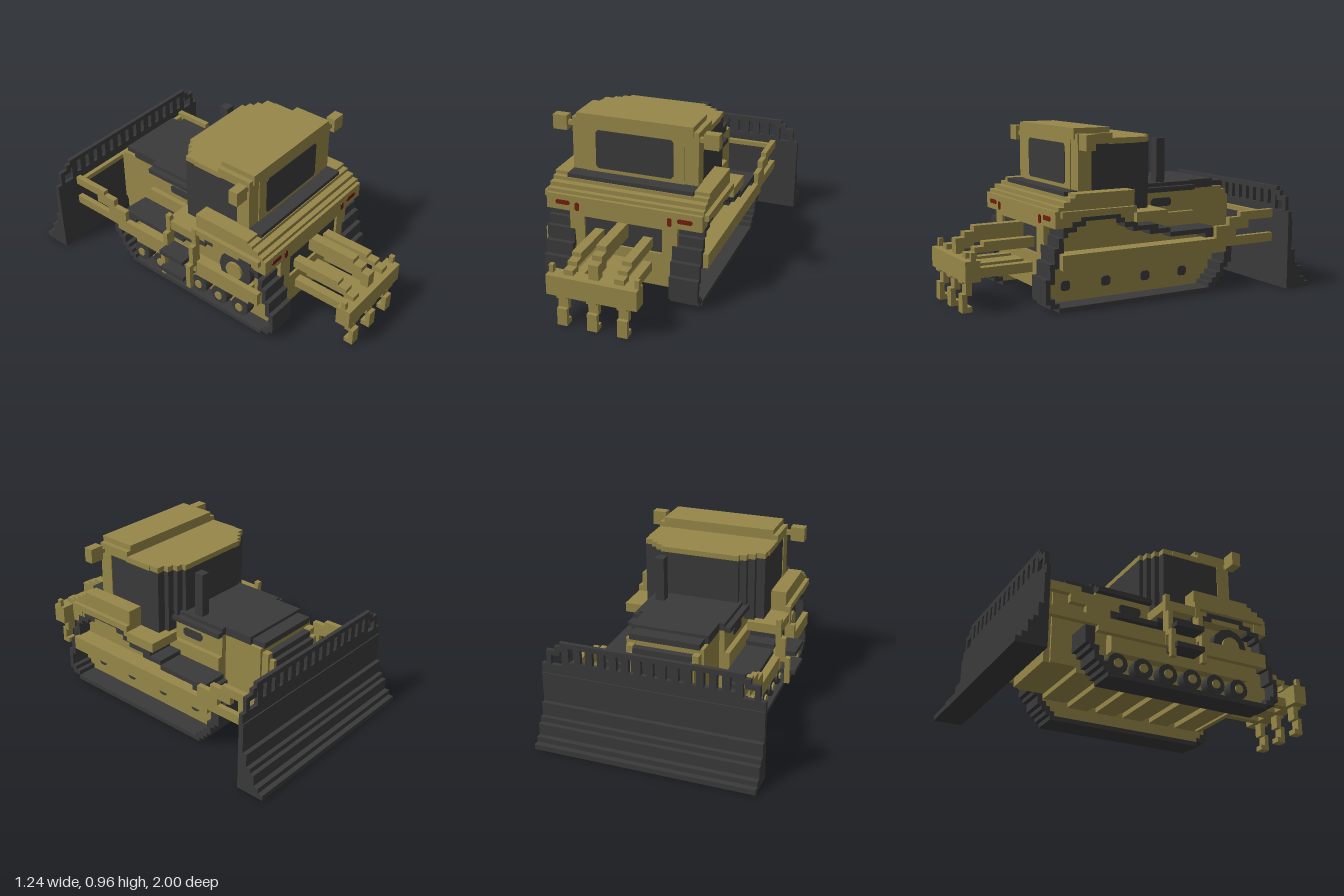
import * as THREE from 'three';

const mat = (name, color) => {
  const m = new THREE.MeshStandardMaterial({ color });
  m.name = name;
  return m;
};

export function createModel() {
  const model = new THREE.Group();
  model.name = 'bulldozer';
  const yellow = mat('ochre paint', 0x968748);
  const dark = mat('charcoal', 0x3a3a3a);
  const red = mat('lamp red', 0x721c0a);

  const add = (name, geo, m) => {
    const mesh = new THREE.Mesh(geo, m);
    mesh.name = name;
    model.add(mesh);
    return mesh;
  };
  // Box given by its extents
  const box = (name, m, x0, x1, y0, y1, z0, z1) => {
    const g = new THREE.BoxGeometry(x1 - x0, y1 - y0, z1 - z0);
    g.translate((x0 + x1) / 2, (y0 + y1) / 2, (z0 + z1) / 2);
    return add(name, g, m);
  };
  // Box on the left and its mirror on the right
  const pair = (name, m, x0, x1, ...r) => {
    box(name + 'Left', m, x0, x1, ...r);
    box(name + 'Right', m, -x1, -x0, ...r);
  };
  // Turn a closed outline into block-like stairs
  const U = 0.0266;
  const stairs = (pts) => {
    const out = [];
    const snap = (v) => Math.round(v / U) * U;
    pts.forEach(([az, ay], i) => {
      const [bz, by] = pts[(i + 1) % pts.length];
      const n = Math.max(1, Math.ceil(Math.hypot(bz - az, by - ay) / (U / 2)));
      for (let k = 0; k < n; k++) {
        const p = [snap(az + (bz - az) * k / n), snap(ay + (by - ay) * k / n)];
        const q = out[out.length - 1];
        if (q && q[0] === p[0] && q[1] === p[1]) continue;
        if (q && q[0] !== p[0] && q[1] !== p[1]) out.push([p[0], q[1]]);
        out.push(p);
      }
    });
    return out;
  };
  // Side profile of [z, y] points, extruded from x0 to x1
  const profile = (name, m, pts, x0, x1, hole) => {
    const toV = (a) => a.map(([z, y]) => new THREE.Vector2(-z, y));
    const s = new THREE.Shape(toV(pts));
    if (hole) s.holes.push(new THREE.Path(toV(hole).reverse()));
    const g = new THREE.ExtrudeGeometry(s, { depth: x1 - x0, bevelEnabled: false });
    g.rotateY(Math.PI / 2).translate(x0, 0, 0);
    return add(name, g, m);
  };
  // Rectangle with cut corners
  const cut = (a0, a1, b0, b1, c) => [[a0 + c, b0], [a1 - c, b0], [a1, b0 + c], [a1, b1 - c], [a1 - c, b1], [a0 + c, b1], [a0, b1 - c], [a0, b0 + c]];
  // Thin cut-corner plate facing the front
  const plate = (name, m, x0, x1, y0, y1, c, z) => {
    const s = new THREE.Shape(cut(x0, x1, y0, y1, c).map((p) => new THREE.Vector2(...p)));
    add(name, new THREE.ExtrudeGeometry(s, { depth: 0.005, bevelEnabled: false }).translate(0, 0, z), m);
  };

  // Tracks: stepped belt around a side frame
  const outer = stairs([[0.55, 0], [0.635, 0.06], [0.635, 0.17], [0.6, 0.26], [0.56, 0.39], [0.53, 0.44], [0.46, 0.48],
    [0.39, 0.505], [0.21, 0.505], [0.14, 0.45], [-0.07, 0.405], [-0.19, 0.37], [-0.43, 0.36], [-0.55, 0.26],
    [-0.55, 0.16], [-0.48, 0.07], [-0.41, 0]]);
  const upper = [[0.57, 0.25], [0.53, 0.39], [0.5, 0.42], [0.44, 0.455], [0.38, 0.475], [0.22, 0.475], [0.15, 0.42],
    [-0.06, 0.375], [-0.18, 0.34], [-0.42, 0.33], [-0.51, 0.25]];
  const inner = stairs([[0.53, 0.03], [0.6, 0.08], [0.6, 0.17], ...upper, [-0.51, 0.17], [-0.46, 0.1], [-0.4, 0.03]]);
  profile('trackBeltLeft', dark, outer, 0.285, 0.45, inner);
  profile('trackBeltRight', dark, outer, -0.45, -0.285, inner);
  profile('trackFrameLeft', yellow, inner, 0.288, 0.33);
  profile('trackFrameUpperLeft', yellow, stairs(upper), 0.32, 0.37);
  profile('trackFrameRight', yellow, inner, -0.37, -0.29);
  box('trackBeamLeft', yellow, 0.32, 0.45, 0.23, 0.31, -0.48, 0.54);
  box('trackBeamRight', yellow, -0.43, -0.37, 0.15, 0.26, -0.4, 0.45);
  for (const z of [0.465, 0.215, -0.04, -0.29]) {
    profile('frameBolt', dark, cut(z - 0.028, z + 0.028, 0.088, 0.142, 0.012), 0.32, 0.338);
  }

  // Open rollers and sprocket on the right track
  const disc = (name, m, r, y, z, x0, x1) => {
    const g = new THREE.CylinderGeometry(r, r, x1 - x0, 12);
    g.rotateZ(Math.PI / 2).translate((x0 + x1) / 2, y, z);
    add(name, g, m);
  };
  for (let i = 0; i < 6; i++) {
    const z = -0.36 + i * 0.15;
    disc('roller', dark, 0.058, 0.09, z, -0.43, -0.37);
    disc('rollerHub', yellow, 0.025, 0.09, z, -0.44, -0.42);
  }
  disc('sprocket', dark, 0.11, 0.34, 0.35, -0.42, -0.37);
  disc('sprocketHub', yellow, 0.055, 0.34, 0.35, -0.435, -0.41);

  // Hull and ribbed belly
  box('hull', yellow, -0.28, 0.28, 0.12, 0.45, -0.41, 0.56);
  box('hullFront', yellow, -0.22, 0.22, 0.12, 0.45, -0.53, -0.4);
  for (let i = 0; i < 6; i++) {
    const w = i ? 0.28 : 0.22;
    box('bellyPlate', yellow, -w, w, 0.09, 0.125, -0.5 + i * 0.18, -0.37 + i * 0.18);
  }
  box('rearPlateLower', yellow, -0.28, 0.28, 0.09, 0.285, 0.55, 0.58);
  pair('rearPlateSide', yellow, 0.225, 0.282, 0.28, 0.45, 0.55, 0.58);
  pair('rearPlateShoulder', yellow, 0.28, 0.312, 0.34, 0.45, 0.55, 0.58);
  box('rearRecess', dark, -0.225, 0.225, 0.285, 0.43, 0.555, 0.565);

  // Rear body, stepping in towards the top
  box('rearBody', yellow, -0.45, 0.45, 0.45, 0.54, 0.5, 0.58);
  box('rearBodyLintel', yellow, -0.312, 0.312, 0.43, 0.46, 0.5, 0.58);
  [[0.54, 0.56, 0.56], [0.56, 0.585, 0.53], [0.585, 0.605, 0.49], [0.605, 0.625, 0.46]].forEach(([y0, y1, z]) =>
    box('rearBodyStep', yellow, -0.45, 0.45, y0, y1, 0.1, z));
  box('rearBodyCore', yellow, -0.445, 0.445, 0.45, 0.545, 0.1, 0.55);
  pair('fenderLip', yellow, 0.44, 0.475, 0.505, 0.54, 0.1, 0.55);
  pair('sidePlatform', yellow, 0.28, 0.475, 0.45, 0.505, -0.1, 0.1);
  box('rearSill', dark, -0.365, 0.365, 0.598, 0.628, 0.4, 0.485);

  // Rear lamps
  for (const s of [-1, 1]) {
    const x = (a, b) => (s > 0 ? [a, b] : [-b, -a]);
    plate('rearLampWide', red, ...x(0.312, 0.395), 0.483, 0.508, 0.007, 0.579);
    plate('rearLampTall', red, ...x(0.255, 0.28), 0.457, 0.505, 0.007, 0.579);
  }

  // Engine bay and hood
  box('engineBay', yellow, -0.25, 0.25, 0.35, 0.58, -0.41, 0.1);
  box('engineNose', yellow, -0.22, 0.22, 0.12, 0.575, -0.65, -0.4);
  box('noseLower', yellow, -0.205, 0.205, 0.12, 0.24, -0.685, -0.64);
  pair('noseCheek', yellow, 0.168, 0.205, 0.2, 0.55, -0.69, -0.64);
  pair('grilleFrame', yellow, 0.168, 0.19, 0.2, 0.515, -0.718, -0.68);
  box('grille', dark, -0.17, 0.17, 0.22, 0.505, -0.716, -0.68);
  box('grilleTop', dark, -0.17, 0.17, 0.22, 0.54, -0.69, -0.64);
  box('hoodEdge', dark, -0.283, 0.283, 0.572, 0.6, -0.41, -0.05);
  box('hood', dark, -0.25, 0.25, 0.575, 0.622, -0.41, 0);
  box('hoodNose', dark, -0.22, 0.22, 0.572, 0.622, -0.58, -0.4);
  box('hoodTip', dark, -0.2, 0.2, 0.572, 0.605, -0.66, -0.57);
  const vent = cut(-0.265, -0.13, 0.486, 0.535, 0.012);
  profile('sideVentLeft', dark, vent, 0.248, 0.256);
  profile('sideVentRight', dark, vent, -0.256, -0.248);
  box('exhaust', dark, 0.168, 0.222, 0.6, 0.875, -0.24, -0.185);

  // Cab with stepped glass nose and two-level roof
  box('cabRear', yellow, -0.365, 0.365, 0.62, 0.9, 0.32, 0.4);
  box('cabRearPanel', yellow, -0.285, 0.285, 0.62, 0.9, 0.39, 0.406);
  plate('rearWindow', dark, -0.225, 0.225, 0.65, 0.873, 0.015, 0.404);
  box('cabGlass', dark, -0.36, 0.36, 0.62, 0.872, 0.1, 0.32);
  [[0.36, -0.04, 0.505], [0.31, -0.07, 0.505], [0.27, -0.1, 0.6], [0.23, -0.125, 0.6]].forEach(([w, z, y]) => {
    box('cabGlassNose', dark, -w, w, y, 0.872, z, 0.1);
    box('roofNose', yellow, -w, w, 0.87, 0.902, z, 0.1);
  });
  box('roof', yellow, -0.365, 0.365, 0.875, 0.93, 0.19, 0.402);
  box('roofFront', yellow, -0.365, 0.365, 0.87, 0.902, 0.02, 0.2);
  box('roofTop', yellow, -0.336, 0.336, 0.9, 0.96, 0.19, 0.41);
  pair('workLampStem', yellow, 0.36, 0.4, 0.876, 0.902, 0.37, 0.395);
  pair('workLamp', yellow, 0.395, 0.478, 0.848, 0.932, 0.355, 0.41);

  // Blade with open slatted top
  profile('blade', dark, [[-0.835, 0], [-0.835, 0.455], [-0.858, 0.455], [-0.858, 0.4], [-0.865, 0.4], [-0.865, 0.23], [-0.89, 0.23],
    [-0.89, 0.155], [-0.915, 0.155], [-0.915, 0.125], [-0.94, 0.125], [-0.94, 0.06], [-0.97, 0.06], [-0.97, 0.03], [-1, 0.03], [-1, 0]], -0.62, 0.62);
  box('bladeTopRail', dark, -0.51, 0.51, 0.562, 0.59, -0.858, -0.835);
  box('bladeLowRail', dark, -0.5, 0.5, 0.45, 0.48, -0.858, -0.835);
  for (let i = 0; i < 15; i++) {
    const x = -0.48 + i * 0.96 / 14;
    box('bladeSlat', dark, x - 0.02, x + 0.02, 0.45, 0.57, -0.858, -0.835);
  }
  pair('bladeRailStep', dark, 0.48, 0.54, 0.537, 0.566, -0.858, -0.835);
  pair('bladeRailEnd', dark, 0.51, 0.59, 0.51, 0.538, -0.858, -0.835);
  pair('bladeRailPost', dark, 0.563, 0.59, 0.45, 0.53, -0.858, -0.835);

  // Push arms, lift arms and cross bar
  pair('pushArm', yellow, 0.445, 0.477, 0.23, 0.312, -0.5, 0.55);
  pair('pushArmFront', yellow, 0.445, 0.477, 0.26, 0.312, -0.838, -0.49);
  pair('liftArm', yellow, 0.445, 0.477, 0.402, 0.452, -0.838, -0.6);
  pair('liftArmMiddle', yellow, 0.445, 0.477, 0.355, 0.425, -0.66, -0.52);
  pair('liftArmRoot', yellow, 0.445, 0.477, 0.3, 0.38, -0.57, -0.43);
  box('bladeCrossBar', yellow, -0.477, 0.477, 0.402, 0.43, -0.838, -0.808);

  // Boarding ladder on the right side
  for (const z of [-0.1, 0.09]) {
    box('ladderPost', yellow, -0.48, -0.45, 0.23, 0.54, z, z + 0.03);
    box('ladderBracket', yellow, -0.508, -0.47, 0.285, 0.43, z, z + 0.03);
    box('ladderRail', yellow, -0.537, -0.507, 0.15, 0.31, z, z + 0.03);
  }
  for (const y of [0.2, 0.32]) box('ladderStep', dark, -0.565, -0.45, y, y + 0.027, -0.08, 0.09);

  // Ripper: arms, tool beam and three shanks
  box('ripperBeam', yellow, -0.255, 0.25, 0.172, 0.285, 0.915, 1);
  pair('ripperLowerArm', yellow, 0.118, 0.168, 0.172, 0.226, 0.55, 0.92);
  box('ripperLowerCentreArm', yellow, -0.055, 0.055, 0.172, 0.226, 0.55, 0.92);
  for (const x of [-0.168, 0.115]) {
    profile('ripperSideArm', yellow, [[0.55, 0.31], [0.55, 0.365], [0.86, 0.365], [0.86, 0.34], [0.915, 0.34], [0.915, 0.315], [0.965, 0.315],
      [0.965, 0.28], [0.9, 0.28], [0.9, 0.31]], x, x + 0.053);
  }
  pair('ripperPin', yellow, 0.226, 0.25, 0.28, 0.33, 0.94, 0.967);
  profile('ripperCentreArm', yellow, [[0.55, 0.345], [0.55, 0.43], [0.86, 0.43], [0.86, 0.4], [0.915, 0.4], [0.915, 0.37], [0.965, 0.37],
    [0.965, 0.28], [0.915, 0.28], [0.915, 0.31], [0.86, 0.31], [0.86, 0.345]], -0.028, 0.028);
  for (const x of [-0.17, 0, 0.168]) {
    profile('ripperShank', yellow, [[1, 0.18], [0.945, 0.18], [0.945, 0.09], [0.972, 0.09], [0.972, 0.03], [0.945, 0.03], [0.945, 0],
      [1, 0], [1, 0.1], [0.978, 0.1], [0.978, 0.16], [1, 0.16]], x - 0.028, x + 0.028);
  }
  return model;
}
